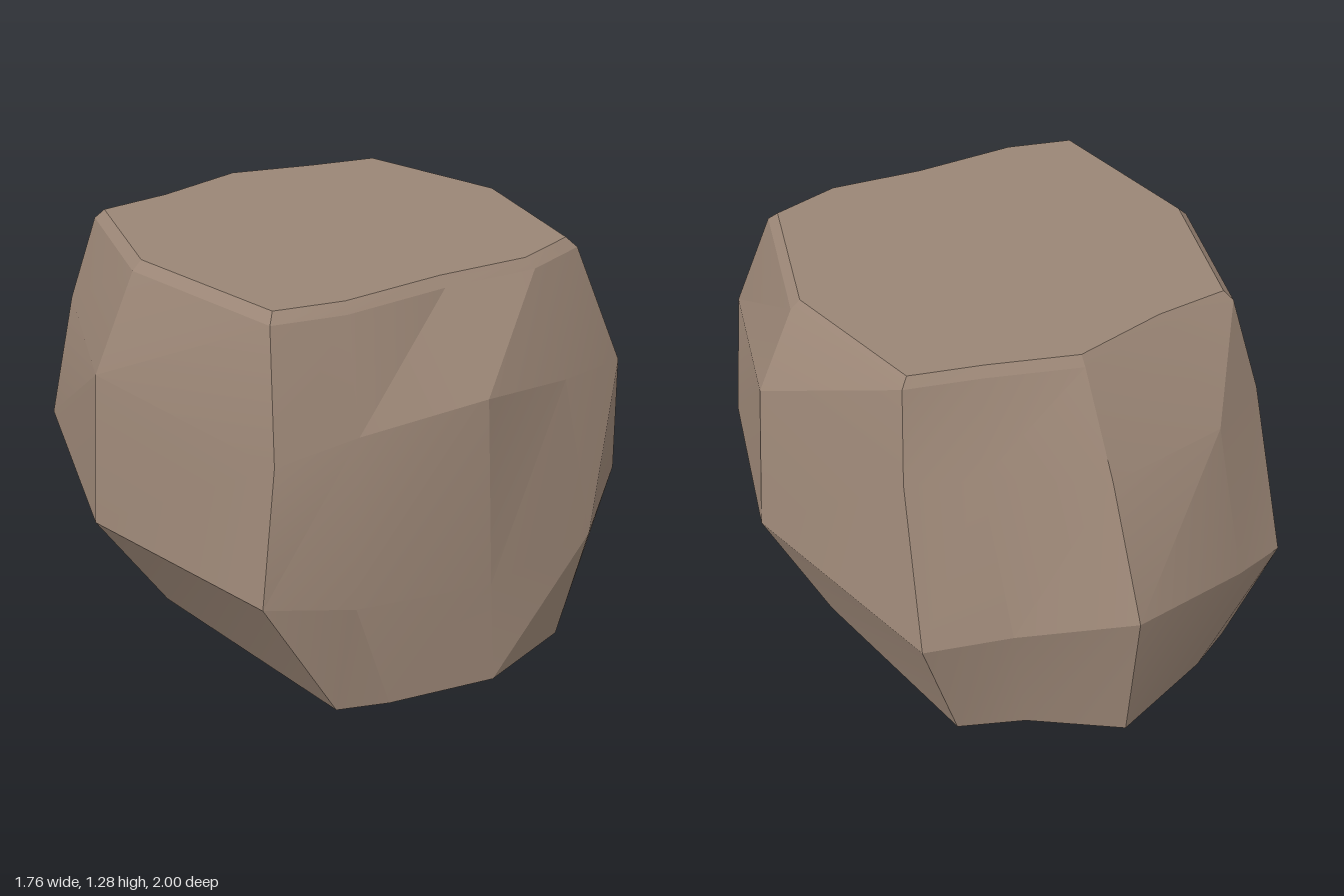
import * as THREE from 'three';
import { toCreasedNormals } from 'three/addons/utils/BufferGeometryUtils.js';

// Cross-sections from the ground up, each running front -> left -> back -> right as [x, y, z]
const base = [
  [0, 0.03, 1.0], [0.34, 0.03, 0.9], [0.5, 0.03, 0.73], [0.66, 0.02, 0], [0.49, 0.02, -0.7], [0.28, 0.03, -0.78],
  [0, 0.03, -0.95], [-0.36, 0.03, -0.8], [-0.52, 0.02, -0.7], [-0.62, 0.02, 0], [-0.5, 0.02, 0.86], [-0.35, 0.03, 0.93],
];
const belly = [
  [0, 0.36, 0.97], [0.42, 0.4, 0.94], [0.73, 0.45, 0.7], [0.88, 0.5, 0], [0.62, 0.45, -0.74], [0.34, 0.46, -0.81],
  [0, 0.54, -1.0], [-0.45, 0.46, -0.86], [-0.65, 0.43, -0.78], [-0.885, 0.41, 0.03], [-0.74, 0.44, 0.83], [-0.47, 0.4, 0.92],
];
const shoulder = [
  [0, 0.97, 0.92], [0.36, 0.92, 0.85], [0.67, 0.88, 0.75], [0.83, 1.01, 0.03], [0.58, 0.96, -0.54], [0.36, 0.96, -0.62],
  [0, 0.95, -0.79], [-0.43, 0.95, -0.7], [-0.65, 0.95, -0.56], [-0.86, 0.93, 0.04], [-0.67, 0.87, 0.79], [-0.41, 0.92, 0.84],
];
const rim = [
  [0, 1.25, 0.69], [0.33, 1.25, 0.71], [0.57, 1.25, 0.63], [0.69, 1.25, 0.08], [0.54, 1.25, -0.46], [0.3, 1.25, -0.51],
  [0, 1.25, -0.59], [-0.33, 1.25, -0.5], [-0.59, 1.25, -0.47], [-0.72, 1.25, 0.05], [-0.6, 1.25, 0.66], [-0.37, 1.25, 0.71],
];

// Shrinks a section slightly for the worn edge around a flat end
const inset = (ring, y) => ring.map(([x, , z]) => [x * 0.955, y, z * 0.955]);

// Skins the sections together and closes both ends
function loft(rings) {
  const n = rings[0].length;
  const pos = [];
  const tri = (a, b, c) => pos.push(...a, ...b, ...c);
  for (let i = 0; i < rings.length - 1; i++) {
    for (let j = 0; j < n; j++) {
      const k = (j + 1) % n;
      const lo = rings[i], hi = rings[i + 1];
      tri(lo[j], lo[k], hi[k]);
      tri(lo[j], hi[k], hi[j]);
    }
  }
  const bottom = rings[0], top = rings[rings.length - 1];
  for (let j = 0; j < n; j++) {
    const k = (j + 1) % n;
    tri([0, bottom[0][1], 0], bottom[k], bottom[j]);
    tri([0, top[0][1], 0], top[j], top[k]);
  }
  const geo = new THREE.BufferGeometry();
  geo.setAttribute('position', new THREE.Float32BufferAttribute(pos, 3));
  return toCreasedNormals(geo, 0.3);
}

export function createModel() {
  const group = new THREE.Group();
  group.name = 'boulder';
  const stone = new THREE.MeshStandardMaterial({ color: 0x9a8575 });
  const rock = new THREE.Mesh(loft([inset(base, 0), base, belly, shoulder, rim, inset(rim, 1.28)]), stone);
  rock.name = 'rock';
  group.add(rock);
  return group;
}
